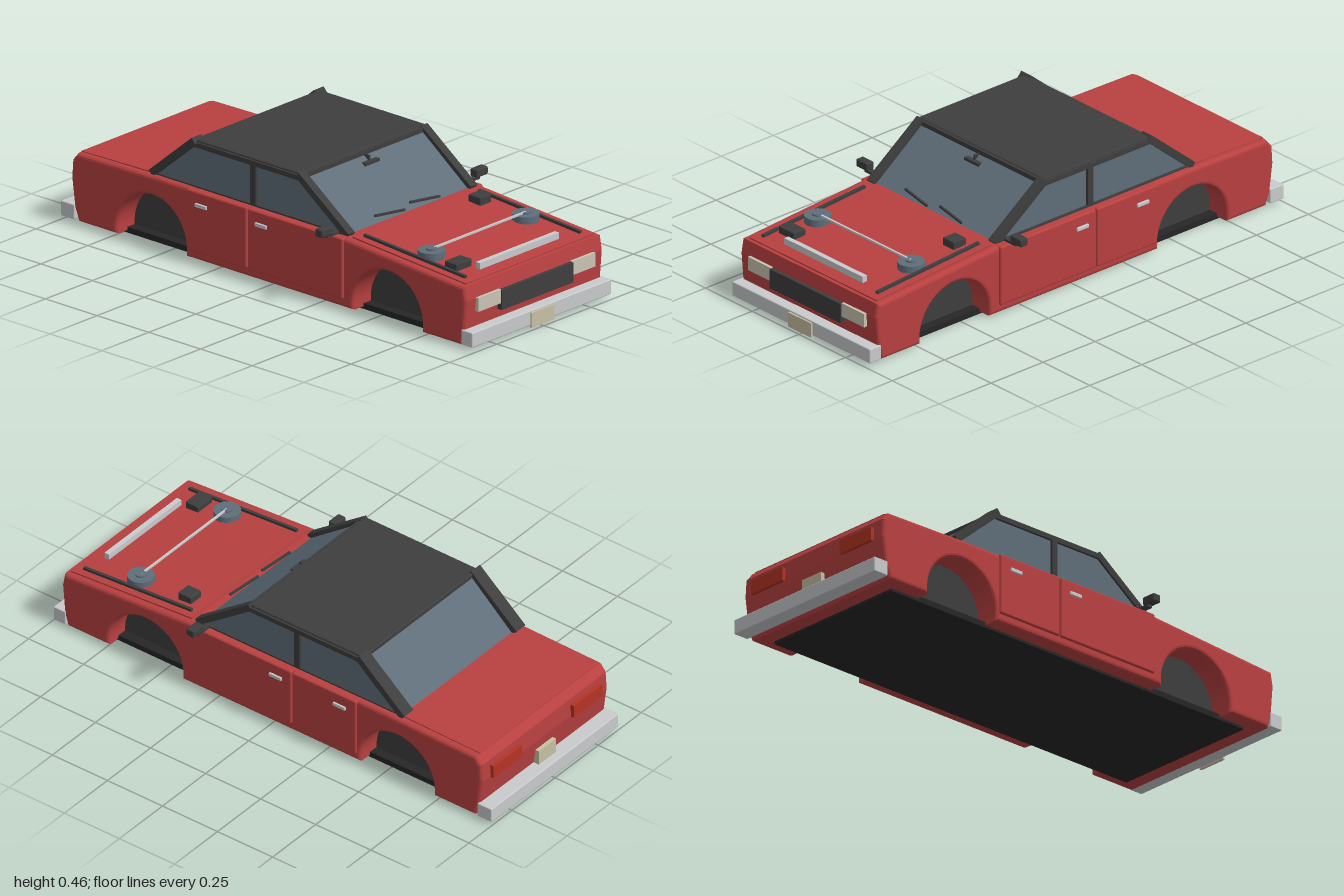
import * as THREE from 'three';
import { RoundedBoxGeometry } from 'three/addons/geometries/RoundedBoxGeometry.js';

const mat = (name, color) => Object.assign(new THREE.MeshStandardMaterial({ color }), { name });

export function createModel() {
  const red = mat('body red', 0xb94040);
  const dark = mat('dark trim', 0x3e3e3e);
  const black = mat('underbody black', 0x262626);
  const glass = mat('tinted glass', 0x5f6e7a);
  const chrome = mat('light metal', 0xc8cacc);
  const cream = mat('headlight cream', 0xcac4b4);
  const tan = mat('plate tan', 0xc8c0a4);
  const tail = mat('tail light red', 0xb53424);

  const car = new THREE.Group();
  car.name = 'car';
  const add = (name, geometry, material, x = 0, y = 0, z = 0) => {
    const mesh = new THREE.Mesh(geometry, material);
    mesh.name = name;
    mesh.position.set(x, y, z);
    car.add(mesh);
    return mesh;
  };
  // Box given by its limits on each axis
  const box = (name, material, [x0, x1], [y0, y1], [z0, z1], r = 0) => {
    const s = [x1 - x0, y1 - y0, z1 - z0];
    const g = r ? new RoundedBoxGeometry(...s, 2, r) : new THREE.BoxGeometry(...s);
    return add(name, g, material, (x0 + x1) / 2, (y0 + y1) / 2, (z0 + z1) / 2);
  };
  // Side profile in (z, y), extruded across the car to +-halfWidth
  const across = (name, shape, material, halfWidth, bevel = 0) => {
    const g = new THREE.ExtrudeGeometry(shape, {
      depth: 2 * (halfWidth - bevel), curveSegments: 24, bevelEnabled: bevel > 0,
      bevelSize: bevel, bevelThickness: bevel, bevelOffset: -bevel, bevelSegments: 3,
    });
    g.translate(0, 0, -(halfWidth - bevel));
    g.rotateY(-Math.PI / 2);
    return add(name, g, material);
  };
  // Beam between two (z, y) points, lying in a plane of constant x
  const beam = (name, material, x, width, thick, [z0, y0], [z1, y1]) => {
    const g = new THREE.BoxGeometry(width, thick, Math.hypot(z1 - z0, y1 - y0));
    const m = add(name, g, material, x, (y0 + y1) / 2, (z0 + z1) / 2);
    m.rotation.x = -Math.atan2(y1 - y0, z1 - z0);
    return m;
  };
  const hoodY = (z) => 0.279 - (z - 0.385) * 0.0716;

  // Lower body with four open wheel arches
  const archR = 0.166, archY = 0.035, wheelZ = [-0.567, 0.575];
  const body = new THREE.Shape();
  body.moveTo(-0.92, 0.01);
  for (const z of wheelZ) {
    body.lineTo(z - archR, 0.01);
    body.lineTo(z - archR, archY);
    body.absarc(z, archY, archR, Math.PI, 0, true);
    body.lineTo(z + archR, 0.01);
  }
  [[0.93, 0.01], [0.945, 0.06], [0.955, 0.18], [0.945, 0.234], [0.375, 0.274], [-0.55, 0.276],
    [-0.925, 0.27], [-0.95, 0.24], [-0.955, 0.17], [-0.94, 0.06]].forEach((p) => body.lineTo(...p));
  body.closePath();
  across('bodyShell', body, red, 0.366, 0.014);

  // Underbody and inner wheel wells
  box('floorPan', black, [-0.308, 0.308], [0, 0.022], [-0.86, 0.86]);
  wheelZ.forEach((z) => box('wheelWell', dark, [-0.27, 0.27], [0.01, 0.225], [z - 0.18, z + 0.18]));

  // Hood and trunk lid
  beam('hood', red, 0, 0.68, 0.012, [0.385, hoodY(0.385) - 0.006], [0.932, hoodY(0.932) - 0.006]);
  beam('trunkLid', red, 0, 0.68, 0.012, [-0.575, 0.274], [-0.925, 0.267]);

  // Cabin glass with roof
  const cabin = new THREE.Shape([[0.362, 0.265], [0.125, 0.44], [-0.385, 0.44], [-0.58, 0.265]]
    .map((p) => new THREE.Vector2(...p)));
  across('cabinGlass', cabin, glass, 0.333);
  box('roof', dark, [-0.335, 0.335], [0.434, 0.455], [-0.39, 0.125], 0.006);
  box('windshieldHeader', dark, [-0.31, 0.31], [0.432, 0.45], [0.1, 0.135]);

  for (const s of [-1, 1]) {
    const side = (a, b) => (s > 0 ? [a, b] : [-b, -a]);
    // Pillars and window frames
    beam('frontPillar', dark, s * 0.325, 0.034, 0.026, [0.36, 0.272], [0.118, 0.446]);
    beam('rearPillar', dark, s * 0.325, 0.052, 0.028, [-0.582, 0.278], [-0.375, 0.453]);
    box('middlePillar', dark, side(0.31, 0.343), [0.27, 0.445], [-0.108, -0.082]);
    box('upperWindowFrame', dark, side(0.32, 0.343), [0.428, 0.447], [-0.385, 0.13]);
    box('lowerWindowFrame', dark, side(0.32, 0.343), [0.268, 0.281], [-0.56, 0.345]);

    // Doors with handles
    box('frontDoor', red, side(0.335, 0.375), [0.042, 0.275], [-0.094, 0.366], 0.007);
    box('rearDoor', red, side(0.335, 0.375), [0.042, 0.275], [-0.388, -0.098], 0.007);
    for (const z of [-0.025, -0.315]) {
      box('doorHandle', chrome, side(0.37, 0.382), [0.218, 0.233], [z - 0.028, z + 0.028], 0.003);
    }

    // Door mirrors
    box('mirrorArm', dark, side(0.335, 0.405), [0.275, 0.285], [0.3, 0.322]);
    box('mirrorHousing', dark, side(0.382, 0.442), [0.285, 0.316], [0.295, 0.33], 0.006);

    // Lamps
    box('headlight', cream, side(0.19, 0.311), [0.131, 0.184], [0.935, 0.966]);
    box('tailLight', tail, side(0.15, 0.315), [0.165, 0.217], [-0.968, -0.935]);

    // Hood side rails and strut tops
    beam('hoodRail', dark, s * 0.305, 0.012, 0.014, [0.41, hoodY(0.41) + 0.003], [0.9, hoodY(0.9) + 0.003]);
    add('strutTop', new THREE.CylinderGeometry(0.05, 0.05, 0.03, 24), glass, s * 0.25, 0.267, 0.685);
    add('strutCap', new THREE.CylinderGeometry(0.02, 0.02, 0.008, 16), glass, s * 0.25, 0.284, 0.685);
  }

  // Equipment on the hood
  box('strutBar', chrome, [-0.25, 0.25], [0.281, 0.288], [0.681, 0.689]);
  box('radiatorBar', chrome, [-0.21, 0.21], [0.24, 0.268], [0.862, 0.882]);
  box('battery', dark, [-0.288, -0.205], [0.24, 0.274], [0.782, 0.84], 0.004);
  box('reservoir', dark, [0.212, 0.272], [0.265, 0.301], [0.44, 0.5], 0.004);

  // Wipers and inside mirror in front of the windshield
  for (const x of [-0.1, 0.085]) {
    const wiper = box('wiper', dark, [x - 0.07, x + 0.07], [0.289, 0.297], [0.342, 0.35]);
    wiper.rotation.set(0, -0.14, -0.07);
  }
  box('insideMirror', dark, [-0.038, 0.038], [0.408, 0.419], [0.15, 0.172]);
  box('insideMirrorStem', dark, [-0.004, 0.004], [0.415, 0.437], [0.135, 0.158]);

  // Grille, bumpers and plates
  box('grille', dark, [-0.19, 0.19], [0.105, 0.181], [0.935, 0.97]);
  box('frontBumper', chrome, [-0.369, 0.369], [0.015, 0.072], [0.935, 0.99], 0.004);
  box('rearBumper', chrome, [-0.369, 0.369], [0.015, 0.072], [-1, -0.935], 0.004);
  box('frontPlate', tan, [-0.061, 0.061], [0.008, 0.065], [0.988, 0.997]);
  box('rearPlate', tan, [-0.05, 0.05], [0.07, 0.13], [-0.966, -0.94]);

  return car;
}
